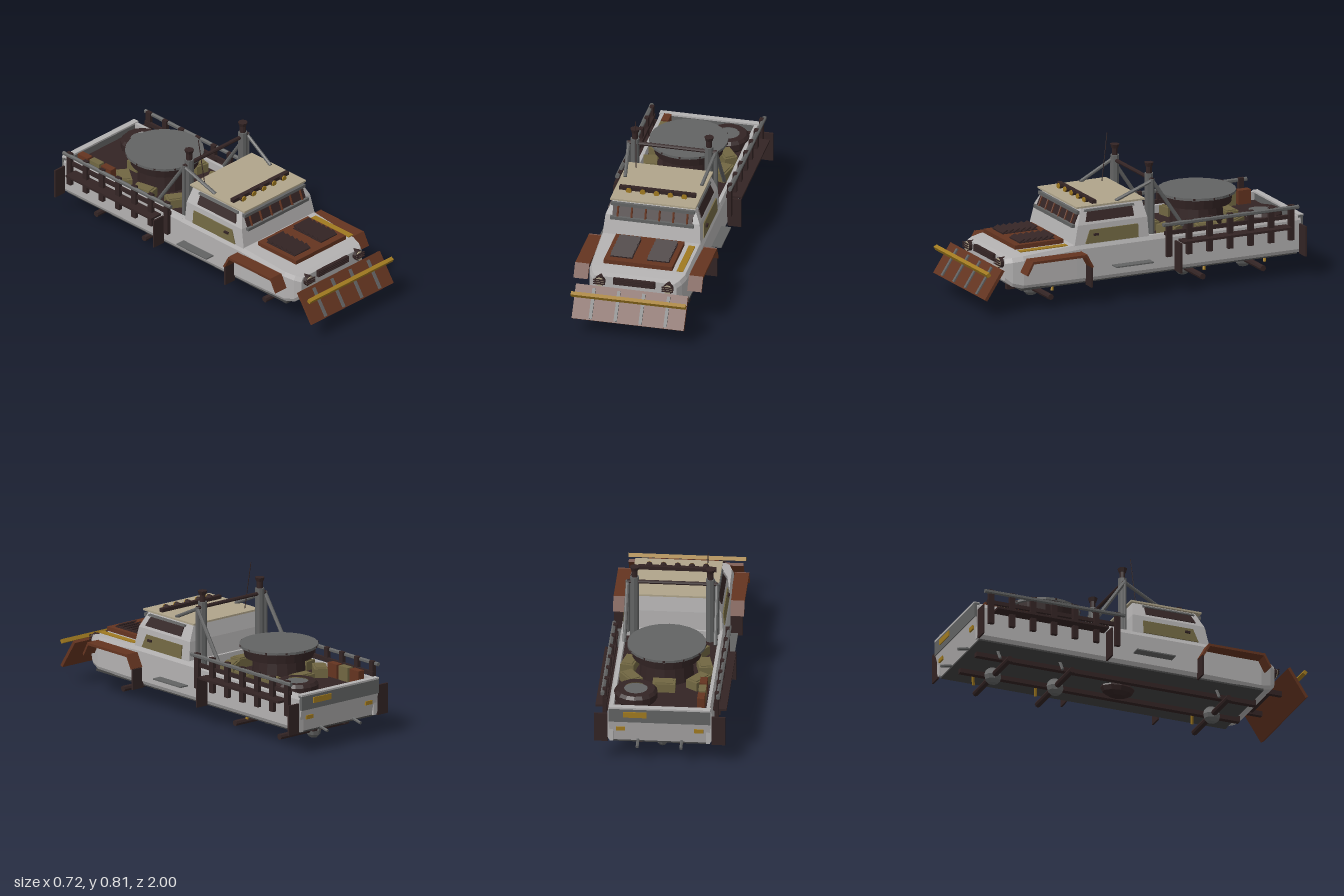
import * as THREE from 'three';
import { ConvexGeometry } from 'three/addons/geometries/ConvexGeometry.js';

const mat = (name, color) => {
  const m = new THREE.MeshStandardMaterial({ color, flatShading: true });
  m.name = name;
  return m;
};

export function createModel() {
  const root = new THREE.Group();
  const body = mat('body grey', 0xb3b1b1), tan = mat('roof tan', 0xb0a58b), rust = mat('rust', 0x643420);
  const dark = mat('dark brown', 0x332424), gold = mat('gold', 0xa07a20), olive = mat('olive', 0x716742);
  const steel = mat('steel', 0x626363), black = mat('underside black', 0x444444);
  const V = (x, y, z) => new THREE.Vector3(x, y, z);
  const add = (name, geo, m, x = 0, y = 0, z = 0) => {
    const mesh = new THREE.Mesh(geo, m);
    mesh.name = name;
    mesh.position.set(x, y, z);
    root.add(mesh);
    return mesh;
  };
  const box = (name, m, w, h, d, x, y, z) => add(name, new THREE.BoxGeometry(w, h, d), m, x, y, z);
  const cyl = (name, m, r0, r1, h, n, x, y, z) => add(name, new THREE.CylinderGeometry(r0, r1, h, n), m, x, y, z);
  const hull = (name, m, pts) => add(name, new ConvexGeometry(pts.map(p => V(...p))), m);
  const tube = (name, m, a, b, r, n = 8) => {
    const p = V(...a), q = V(...b), d = q.clone().sub(p);
    const mesh = cyl(name, m, r, r, d.length(), n, 0, 0, 0);
    mesh.position.copy(p.add(q).multiplyScalar(0.5));
    mesh.quaternion.setFromUnitVectors(V(0, 1, 0), d.normalize());
    return mesh;
  };
  const sides = f => [-1, 1].forEach(f);

  // Nose and lower cab: sections of z, half width, bottom, top
  const pts = [];
  for (const [z, w, b, t] of [[0.835, 0.235, 0.17, 0.295], [0.80, 0.258, 0.14, 0.302], [0.74, 0.275, 0.125, 0.309],
    [0.42, 0.285, 0.125, 0.335], [-0.04, 0.285, 0.125, 0.335]])
    sides(s => pts.push([s * (w - 0.01), b, z], [s * w, b + 0.02, z], [s * w, t - 0.025, z], [s * (w - 0.012), t, z]));
  hull('nose and lower cab', body, pts);

  // Cab: levels of y, half width, front z, rear z
  const cabPts = [];
  for (const [y, w, f, r] of [[0.33, 0.275, 0.43, -0.025], [0.44, 0.265, 0.405, -0.02], [0.53, 0.225, 0.365, -0.005]])
    sides(s => cabPts.push([s * w, y, f], [s * w, y, r]));
  hull('cab', body, cabPts);
  box('roof', tan, 0.48, 0.01, 0.42, 0, 0.534, 0.19);

  // Windscreen with guard bars
  const screen = box('windscreen', dark, 0.45, 0.075, 0.008, 0, 0.472, 0.393);
  screen.rotation.x = -0.418;
  const bar = (y, z) => box('guard bar', steel, 0.47, 0.018, 0.018, 0, y, z);
  bar(0.505, 0.39);
  bar(0.432, 0.418);
  for (let i = 0; i < 6; i++) {
    const x = -0.195 + i * 0.078;
    tube('guard slat', rust, [x, 0.432, 0.418], [x, 0.505, 0.390], 0.006, 6);
  }

  // Side windows, door armour, handles and steps
  sides(s => {
    const plate = (name, m, corners, off) => {
      const p = corners.flatMap(([y, z]) => {
        const x = y > 0.44 ? 0.265 - (y - 0.44) * 0.444 : 0.275 - (y - 0.33) * 0.091;
        return [[s * (x - 0.002), y, z], [s * (x + off), y, z]];
      });
      hull(name, m, p);
    };
    plate('side window', dark, [[0.455, 0.355], [0.455, 0.06], [0.505, 0.06], [0.505, 0.335]], 0.006);
    plate('window header', steel, [[0.508, 0.355], [0.508, 0.05], [0.518, 0.05], [0.518, 0.35]], 0.012);
    plate('door armour', olive, [[0.335, 0.365], [0.335, 0.04], [0.41, 0.04], [0.41, 0.335]], 0.006);
    box('door handle', dark, 0.01, 0.012, 0.03, s * 0.281, 0.383, 0.30);
    box('side step', steel, 0.075, 0.007, 0.23, s * 0.302, 0.197, 0.09);
  });

  // Hood plate, louvres and stripe
  box('hood plate', rust, 0.385, 0.024, 0.295, 0, 0.342, 0.605);
  sides(s => {
    box('vent base', dark, 0.125, 0.006, 0.215, s * 0.103, 0.355, 0.605);
    for (let i = 0; i < 6; i++)
      box('vent slat', dark, 0.122, 0.007, 0.035, s * 0.103, 0.366, 0.515 + i * 0.036).rotation.x = 0.5;
  });
  box('hood stripe', gold, 0.036, 0.005, 0.29, 0.235, 0.332, 0.605);

  // Grille and headlights
  box('grille', dark, 0.235, 0.036, 0.02, 0, 0.278, 0.842);
  for (let i = 0; i < 3; i++) box('grille bar', dark, 0.225, 0.005, 0.008, 0, 0.267 + i * 0.011, 0.853);
  sides(s => {
    cyl('headlight rim', dark, 0.030, 0.030, 0.04, 10, s * 0.192, 0.270, 0.835).rotation.x = Math.PI / 2;
    cyl('headlight lens', tan, 0.026, 0.026, 0.008, 10, s * 0.192, 0.270, 0.857).rotation.x = Math.PI / 2;
    for (let i = 0; i < 3; i++) box('headlight bar', dark, 0.064, 0.005, 0.008, s * 0.192, 0.262 + i * 0.012, 0.865);
  });

  // Plough blade with ribs, arms and top bar
  const tilt = -Math.atan2(0.1, 0.15);
  box('plough blade', rust, 0.63, 0.192, 0.018, 0, 0.18, 0.94).rotation.x = tilt;
  for (const x of [-0.21, -0.07, 0.07, 0.21])
    box('plough rib', steel, 0.018, 0.17, 0.012, x, 0.183, 0.951).rotation.x = tilt;
  box('plough top bar', gold, 0.645, 0.022, 0.022, 0, 0.245, 0.98).rotation.x = 0.5;
  sides(s => box('plough arm', dark, 0.024, 0.028, 0.11, s * 0.14, 0.178, 0.86));
  box('front bumper bar', dark, 0.24, 0.02, 0.02, 0, 0.18, 0.845);

  // Front fenders with sloped ends, and flaps at both axle groups
  sides(s => {
    box('fender top', rust, 0.08, 0.014, 0.32, s * 0.32, 0.291, 0.56);
    sides(e => {
      box('fender end', rust, 0.08, 0.086, 0.012, s * 0.32, 0.26, 0.56 + e * 0.18).rotation.x = -e * 0.5;
    });
    box('front mud flap', dark, 0.075, 0.115, 0.01, s * 0.315, 0.163, 0.36);
    box('rear fender top', dark, 0.075, 0.012, 0.66, s * 0.3225, 0.29, -0.53);
    for (const z of [-0.945, -0.182]) box('rear mud flap', dark, 0.075, 0.17, 0.01, s * 0.3225, 0.205, z);
  });

  // Cargo bed
  box('bed floor', dark, 0.53, 0.02, 0.91, 0, 0.28, -0.49);
  sides(s => {
    const wall = [];
    for (const z of [-0.04, -0.95])
      for (const [x, y] of [[0.275, 0.125], [0.285, 0.145], [0.285, 0.31], [0.274, 0.335], [0.255, 0.335], [0.255, 0.125]])
        wall.push([s * x, y, z]);
    hull('bed wall', body, wall);
  });
  hull('lower tailgate', body, [-1, 1].flatMap(s => [[s * 0.27, 0.125, -0.935], [s * 0.28, 0.25, -0.962],
    [s * 0.28, 0.25, -0.93], [s * 0.27, 0.125, -0.91]]));
  box('upper tailgate', steel, 0.56, 0.085, 0.03, 0, 0.2925, -0.952);
  box('tailgate rim', body, 0.56, 0.01, 0.034, 0, 0.335, -0.952);
  box('tailgate plate', gold, 0.13, 0.032, 0.008, 0.135, 0.298, -0.97);
  sides(s => {
    box('tail light', gold, 0.05, 0.022, 0.01, s * 0.215, 0.205, -0.956);
    tube('tow hook', steel, [s * 0.12, 0.13, -0.93], [s * 0.12, 0.115, -0.998], 0.009, 6);
  });
  box('underside', black, 0.54, 0.012, 1.69, 0, 0.122, -0.09);

  // Stake sides
  sides(s => {
    tube('stake rail', steel, [s * 0.317, 0.396, -0.09], [s * 0.317, 0.396, -0.92], 0.012, 6);
    box('stake middle rail', dark, 0.015, 0.022, 0.79, s * 0.30, 0.342, -0.505);
    for (let i = 0; i < 7; i++)
      box('stake', dark, 0.022, 0.20, 0.032, s * 0.308, 0.31, -0.13 - i * 0.125);
  });

  // Round turret ring with sandbags
  cyl('turret pedestal', dark, 0.14, 0.15, 0.13, 16, 0, 0.35, -0.455);
  cyl('turret drum', dark, 0.20, 0.19, 0.06, 24, 0, 0.44, -0.455);
  cyl('turret lid', steel, 0.217, 0.217, 0.014, 24, 0, 0.473, -0.455);
  for (let i = 0; i < 12; i++) {
    const a = i * Math.PI / 6;
    cyl('lid bolt', dark, 0.007, 0.007, 0.01, 6, Math.sin(a) * 0.213, 0.474, -0.455 + Math.cos(a) * 0.213);
  }
  const bag = (x, z) => {
    const a = Math.atan2(x, z + 0.455);
    box('sandbag', olive, 0.125, 0.05, 0.075, x, 0.315, z).rotation.y = a;
    box('sandbag seam', olive, 0.10, 0.062, 0.055, x, 0.315, z).rotation.y = a;
  };
  bag(0, -0.16);
  bag(0, -0.645);
  sides(s => { bag(s * 0.145, -0.215); bag(s * 0.205, -0.41); bag(s * 0.185, -0.585); });

  // Spare wheel and fuel cans
  const tyre = [[0.065, -0.035], [0.105, -0.035], [0.12, -0.018], [0.12, 0.018], [0.105, 0.035], [0.065, 0.035]];
  add('spare tyre', new THREE.LatheGeometry(tyre.map(p => new THREE.Vector2(...p)), 16), dark, 0.145, 0.325, -0.77);
  cyl('spare wheel hub', steel, 0.068, 0.068, 0.06, 12, 0.145, 0.325, -0.77);
  [[-0.85, rust], [-0.76, olive], [-0.67, rust]].forEach(([z, m]) => box('fuel can', m, 0.04, 0.08, 0.075, -0.22, 0.33, z));

  // Exhaust stacks, roll bar and braces
  sides(s => {
    cyl('exhaust stack', steel, 0.025, 0.025, 0.38, 8, s * 0.208, 0.48, -0.058);
    cyl('stack neck', dark, 0.017, 0.017, 0.05, 8, s * 0.208, 0.69, -0.058);
    cyl('stack cap', dark, 0.027, 0.02, 0.022, 8, s * 0.208, 0.72, -0.058);
    tube('roll post', steel, [s * 0.246, 0.33, -0.06], [s * 0.246, 0.645, -0.06], 0.012);
    tube('front brace', steel, [s * 0.244, 0.635, -0.06], [s * 0.215, 0.54, 0.15], 0.01);
    tube('rear brace', steel, [s * 0.246, 0.635, -0.06], [s * 0.25, 0.36, -0.245], 0.011);
  });
  tube('roll crossbar', dark, [-0.25, 0.64, -0.06], [0.25, 0.64, -0.06], 0.011);
  tube('aerial', dark, [-0.18, 0.535, 0.035], [-0.192, 0.806, -0.003], 0.0025, 5);

  // Roof light bar
  box('light bar', dark, 0.43, 0.02, 0.025, 0, 0.549, 0.28);
  for (let i = -2; i <= 2; i++) {
    cyl('lamp housing', dark, 0.018, 0.014, 0.03, 8, i * 0.078, 0.55, 0.295).rotation.x = Math.PI / 2;
    cyl('lamp lens', gold, 0.016, 0.016, 0.008, 8, i * 0.078, 0.55, 0.313).rotation.x = Math.PI / 2;
  }

  // Chassis rails, axles, shock absorbers and gearbox
  sides(s => box('chassis rail', dark, 0.03, 0.034, 1.66, s * 0.115, 0.107, -0.06));
  for (const z of [0.56, -0.37, -0.74]) {
    tube('axle', dark, [-0.246, 0.05, z], [0.246, 0.05, z], 0.017, 8);
    add('differential', new THREE.SphereGeometry(0.05, 8, 6), steel, 0, 0.05, z).scale.x = 0.8;
    sides(s => tube('shock absorber', s > 0 ? gold : steel, [s * 0.172, 0.125, z - 0.045], [s * 0.19, 0.07, z - 0.035], 0.009, 6));
  }
  add('gearbox', new THREE.SphereGeometry(0.1, 10, 6), dark, 0, 0.105, 0).scale.set(0.6, 0.52, 1);
  return root;
}
